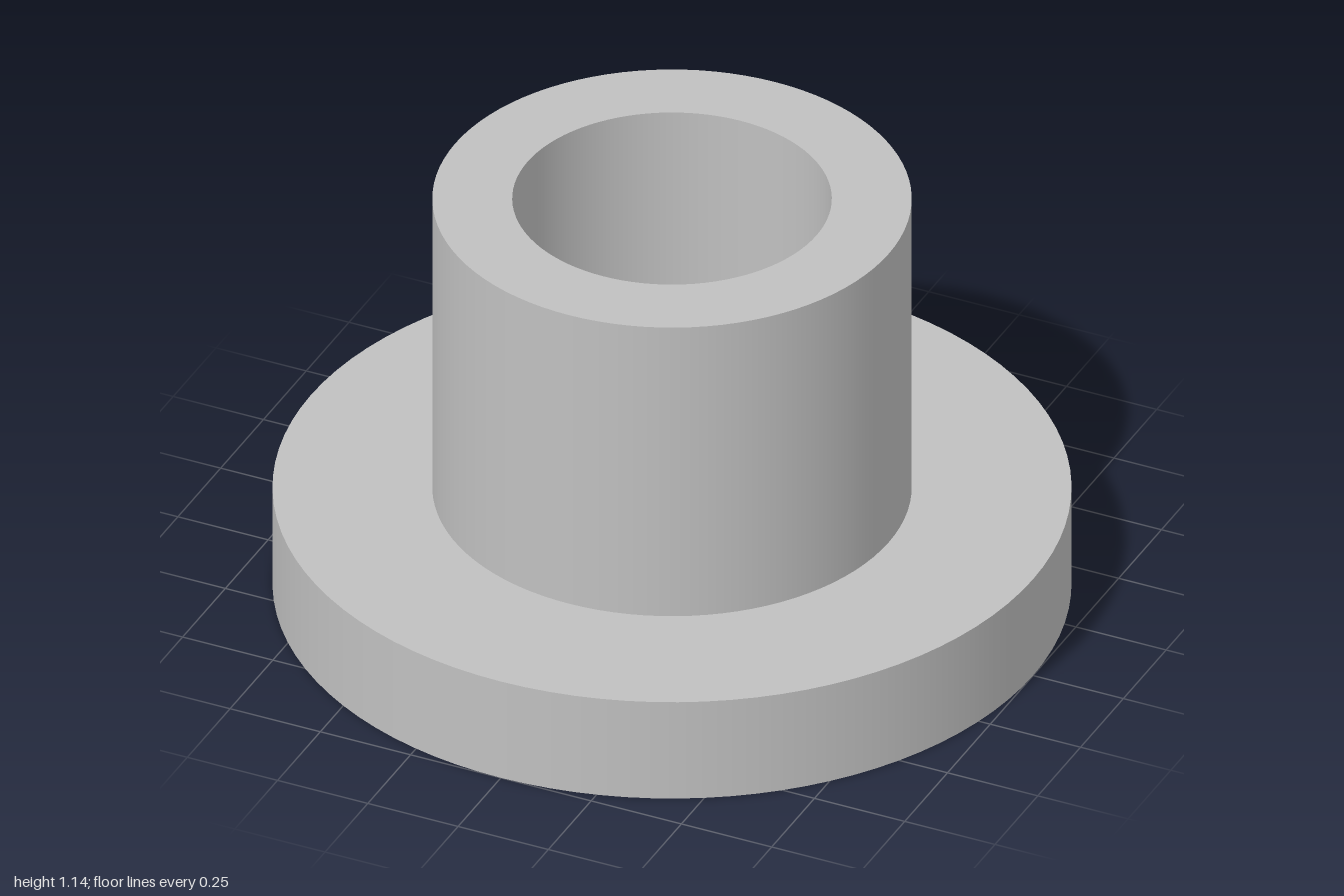
import * as THREE from 'three';

const SEGMENTS = 96;
const BORE = 0.4, SLEEVE = 0.6, FLANGE = 1;
const FLANGE_TOP = 0.286, HEIGHT = 1.143;

export function createModel() {
  const bushing = new THREE.Group();
  bushing.name = 'flangedBushing';

  const metal = new THREE.MeshStandardMaterial({ color: 0xc0c0c0 });
  metal.name = 'grey metal';

  // Closed profile (radius, height); each straight run is its own surface so edges stay sharp
  const profile = [
    ['flangeUnderside', BORE, 0],
    ['flangeRim', FLANGE, 0],
    ['flangeTop', FLANGE, FLANGE_TOP],
    ['sleeveWall', SLEEVE, FLANGE_TOP],
    ['sleeveTop', SLEEVE, HEIGHT],
    ['boreWall', BORE, HEIGHT],
  ];

  profile.forEach(([name, radius, y], i) => {
    const [, nextRadius, nextY] = profile[(i + 1) % profile.length];
    const run = [new THREE.Vector2(radius, y), new THREE.Vector2(nextRadius, nextY)];
    const mesh = new THREE.Mesh(new THREE.LatheGeometry(run, SEGMENTS), metal);
    mesh.name = name;
    bushing.add(mesh);
  });

  return bushing;
}
